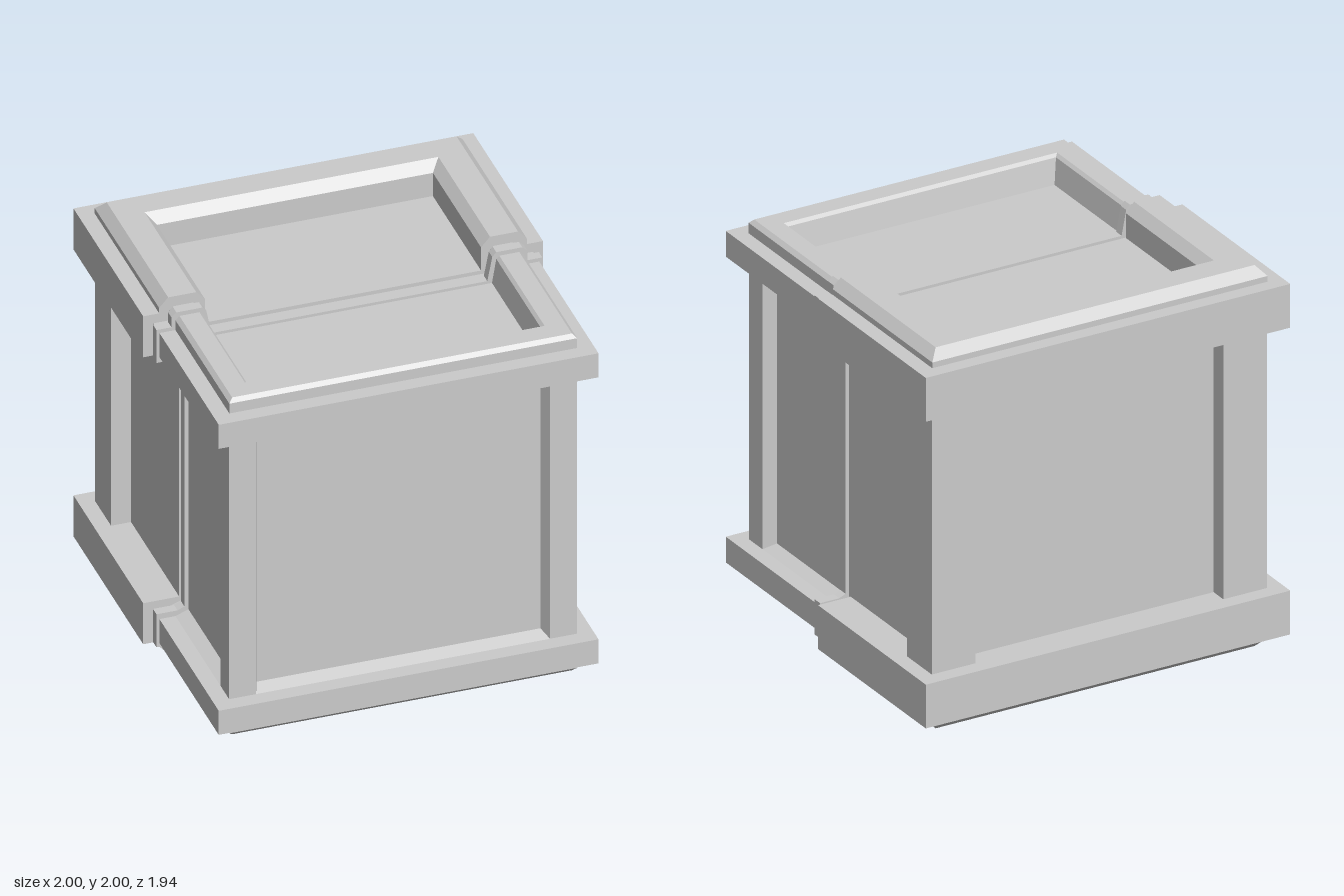
import * as THREE from 'three';

const material = new THREE.MeshStandardMaterial({ color: 0xcccccc, flatShading: true });

function add(group, name, geometry) {
  const mesh = new THREE.Mesh(geometry, material);
  mesh.name = name;
  group.add(mesh);
  return mesh;
}

// Sweep a profile of [x, z, y] points round three sides of the crate with mitred corners.
// dir: +1 front half, -1 back half; sy: +1 top, -1 bottom (mirrored about y = 1).
function sweepU(profile, zStart, dir, sy) {
  const verts = [];
  const n = profile.length;
  const flip = dir * sy < 0;
  const point = (k, j) => {
    const [x, z, y] = profile[k % n];
    const inner = j === 1 || j === 2;
    return [j < 2 ? x : -x, 1 + sy * (y - 1), inner ? dir * z : zStart];
  };
  const tri = (a, b, c) => verts.push(...a, ...(flip ? c : b), ...(flip ? b : c));
  for (let j = 0; j < 3; j++) {
    for (let k = 0; k < n; k++) {
      const a0 = point(k, j), b0 = point(k + 1, j), a1 = point(k, j + 1), b1 = point(k + 1, j + 1);
      tri(a0, b1, b0);
      tri(a0, a1, b1);
    }
  }
  for (let k = 1; k < n - 1; k++) {
    tri(point(0, 0), point(k, 0), point(k + 1, 0));
    tri(point(0, 3), point(k + 1, 3), point(k, 3));
  }
  const geo = new THREE.BufferGeometry();
  geo.setAttribute('position', new THREE.Float32BufferAttribute(verts, 3));
  geo.computeVertexNormals();
  return geo;
}

// Upright post from a plan outline of [x, z] points, between two heights.
function postGeometry(plan, sx, sz, y0, y1) {
  const shape = new THREE.Shape(plan.map(([x, z]) => new THREE.Vector2(sx * x, -sz * z)));
  const geo = new THREE.ExtrudeGeometry(shape, { depth: y1 - y0, bevelEnabled: false });
  geo.rotateX(-Math.PI / 2);
  geo.translate(0, y0, 0);
  return geo;
}

function boxBetween(x, y0, y1, z0, z1) {
  return new THREE.BoxGeometry(2 * x, y1 - y0, z1 - z0).translate(0, (y0 + y1) / 2, (z0 + z1) / 2);
}

// One half of the crate: recessed core, corner posts, wrap-round bands, raised rims.
function buildHalf(name, s) {
  const half = new THREE.Group();
  half.name = name;
  add(half, 'recessedPanels', boxBetween(...s.core));
  for (const sx of [1, -1]) {
    add(half, sx > 0 ? 'leftPost' : 'rightPost', postGeometry(s.post, sx, s.dir, 0.2, 1.8));
  }
  for (const sy of [1, -1]) {
    const end = sy > 0 ? 'top' : 'bottom';
    add(half, end + 'Band', sweepU(s.band, s.zStart, s.dir, sy));
    add(half, end + 'Rim', sweepU(s.rim, s.zStart, s.dir, sy));
  }
  return half;
}

export function createModel() {
  const model = new THREE.Group();
  model.name = 'crate';

  // Slimmer front half with bevelled panel openings
  model.add(buildHalf('frontHalf', {
    dir: 1,
    zStart: 0.02,
    core: [0.805, 0.2, 1.8, 0, 0.825],
    post: [[0.87, 0.89], [0.735, 0.89], [0.71, 0.825], [0.71, 0.74], [0.805, 0.74], [0.87, 0.765]],
    band: [[0.95, 0.97, 1.87], [0.95, 0.97, 1.735], [0.87, 0.89, 1.735],
      [0.805, 0.825, 1.71], [0.76, 0.78, 1.71], [0.76, 0.78, 1.87]],
    rim: [[0.85, 0.875, 1.945], [0.87, 0.893, 1.925], [0.87, 0.893, 1.78],
      [0.71, 0.728, 1.78], [0.735, 0.755, 1.93], [0.75, 0.77, 1.945]],
  }));

  // Heavier back half with square posts and chamfered rims
  model.add(buildHalf('backHalf', {
    dir: -1,
    zStart: 0.03,
    core: [0.82, 0.18, 1.82, -0.8, 0.03],
    post: [[0.92, 0.89], [0.68, 0.89], [0.68, 0.66], [0.92, 0.66]],
    band: [[1, 0.97, 1.92], [1, 0.97, 1.69], [0.76, 0.75, 1.69], [0.76, 0.75, 1.92]],
    rim: [[0.875, 0.85, 2], [0.92, 0.895, 1.95], [0.92, 0.895, 1.78],
      [0.69, 0.66, 1.78], [0.69, 0.66, 1.95], [0.735, 0.71, 2]],
  }));

  // Thin collar that follows the frame outline just in front of the joint
  const q = [[0.825, 1.69], [0.86, 1.705], [0.965, 1.705], [0.965, 1.89], [0.89, 1.89],
    [0.89, 1.945], [0.865, 1.968], [0.735, 1.968], [0.715, 1.945], [0.69, 1.815]];
  const r = [...q].reverse();
  const outline = [
    ...q,
    ...r.map(([x, y]) => [-x, y]),
    ...q.map(([x, y]) => [-x, 2 - y]),
    ...r.map(([x, y]) => [x, 2 - y]),
  ].map(([x, y]) => new THREE.Vector2(x, y));
  const collar = new THREE.ExtrudeGeometry(new THREE.Shape(outline), { depth: 0.05, bevelEnabled: false });
  add(model, 'jointCollar', collar.translate(0, 0, 0.07));

  return model;
}
